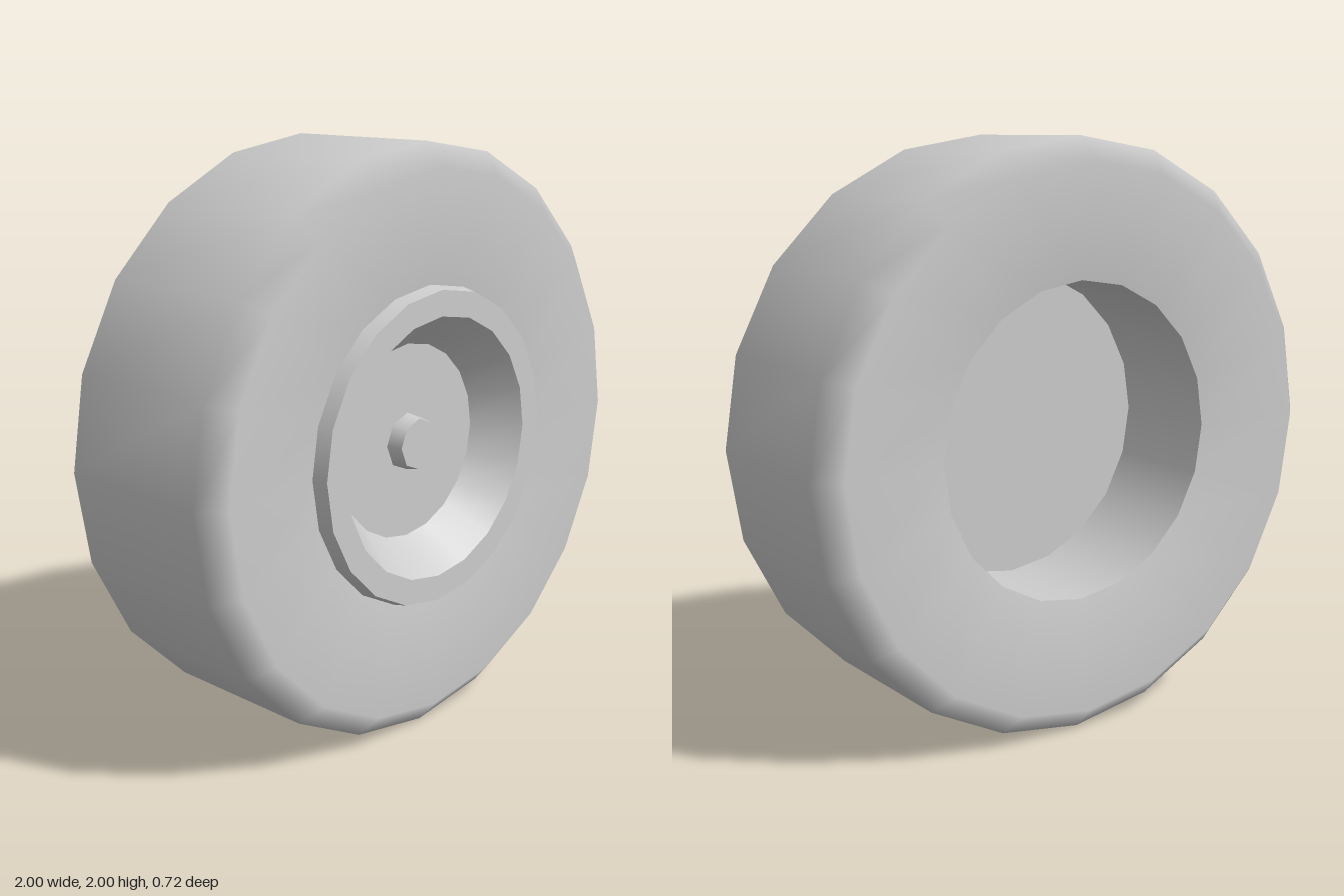
import * as THREE from 'three';

const SIDES = 20;
const material = new THREE.MeshStandardMaterial({ color: 0xcccccc });

// Smooth lathe through [radius, z] points, turned so its axis runs along z
function turned(name, points, sides = SIDES) {
  const profile = points.map(([r, z]) => new THREE.Vector2(r, z));
  const geometry = new THREE.LatheGeometry(profile, sides);
  geometry.rotateX(Math.PI / 2);
  const mesh = new THREE.Mesh(geometry, material);
  mesh.name = name;
  return mesh;
}

// One lathe per profile segment, so the edges between segments stay sharp
function turnedSharp(name, points, sides = SIDES) {
  const group = new THREE.Group();
  group.name = name;
  for (let i = 0; i < points.length - 1; i++) {
    group.add(turned(name + 'Face' + (i + 1), [points[i], points[i + 1]], sides));
  }
  return group;
}

export function createModel() {
  const wheel = new THREE.Group();
  wheel.name = 'wheel';

  // Tyre: slightly dished sidewalls, rounded shoulders and a flat tread
  wheel.add(turned('tyre', [
    [0.54, -0.3], [0.92, -0.36], [1, -0.285],
    [1, 0.285], [0.92, 0.355], [0.54, 0.31],
  ]));

  // Straight bore behind the hub
  wheel.add(turned('tyreBore', [[0.54, 0.31], [0.54, -0.3]]));

  // Hub: raised rim, sloping dish and flat floor
  wheel.add(turnedSharp('hub', [
    [0.545, 0.3], [0.532, 0.363], [0.445, 0.363], [0.335, 0.215], [0, 0.215],
  ]));

  // Flat back of the hub, set deep in the bore
  wheel.add(turned('hubBack', [[0, 0.1], [0.54, 0.1]]));

  // Eight-sided axle cap
  wheel.add(turnedSharp('axleCap', [[0.1, 0.21], [0.088, 0.27], [0, 0.27]], 8));

  wheel.position.y = 1;
  const model = new THREE.Group();
  model.name = 'model';
  model.add(wheel);
  return model;
}
